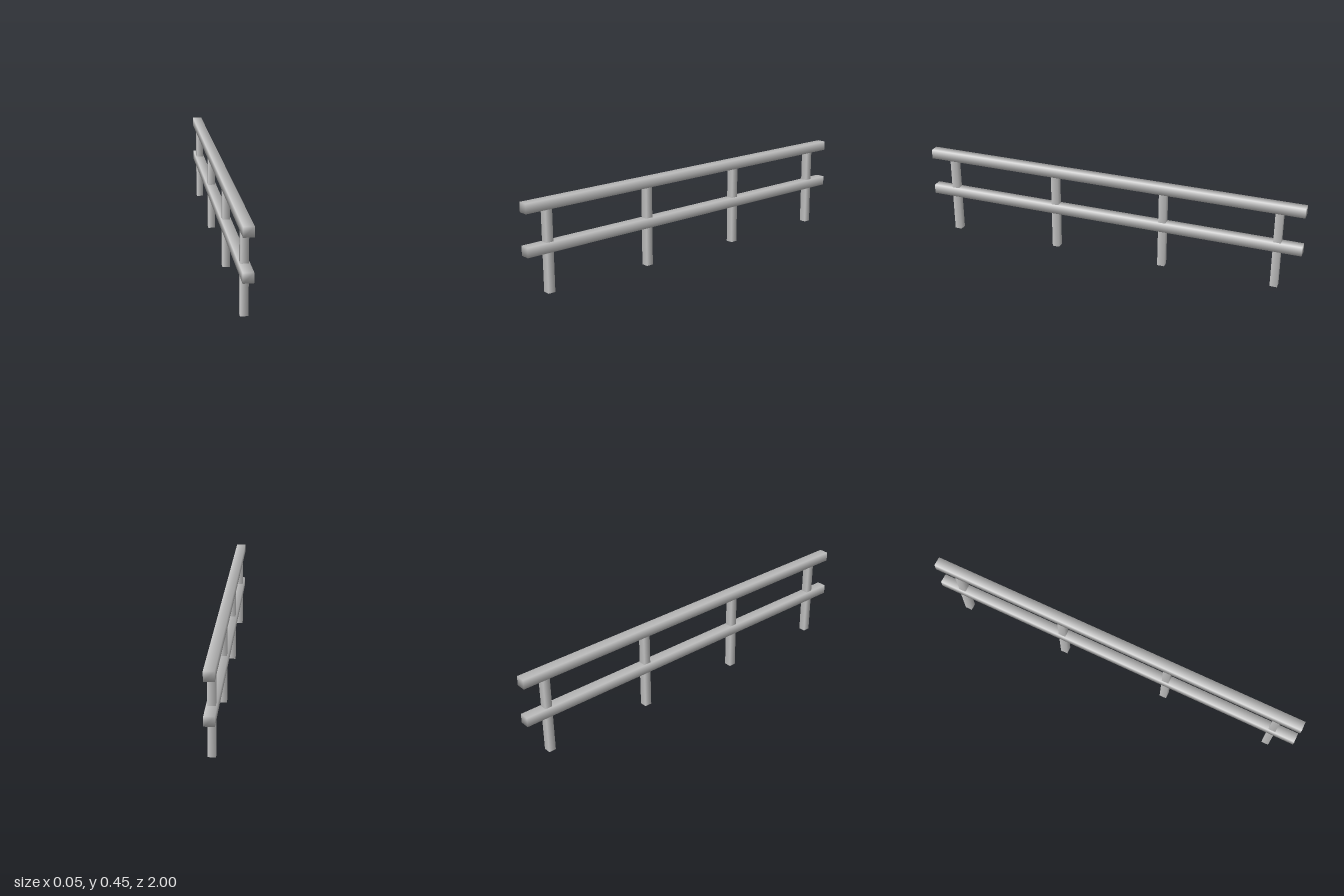
import * as THREE from 'three';
import { mergeVertices } from 'three/addons/utils/BufferGeometryUtils.js';

const RAIL = 0.049;   // rail thickness
const POST = 0.037;   // post thickness

// Box whose corners share one normal, for soft shading
function softBox(w, h, d) {
  const box = new THREE.BoxGeometry(w, h, d);
  box.deleteAttribute('normal');
  box.deleteAttribute('uv');
  const geometry = mergeVertices(box);
  geometry.computeVertexNormals();
  return geometry;
}

export function createModel() {
  const fence = new THREE.Group();
  fence.name = 'railFence';
  const material = new THREE.MeshStandardMaterial({ color: 0xcccccc });
  const openMaterial = new THREE.MeshStandardMaterial({ color: 0xcccccc, side: THREE.DoubleSide });

  // Two long horizontal rails
  const railGeometry = softBox(RAIL, 0.048, 2);
  for (const [name, y] of [['lowerRail', 0.221], ['upperRail', 0.425]]) {
    const rail = new THREE.Mesh(railGeometry, material);
    rail.name = name;
    rail.position.y = y;
    fence.add(rail);
  }

  // Four square, open-ended posts running up into the upper rail
  const postHeight = 0.41;
  const radius = POST / Math.SQRT2;
  const postGeometry = new THREE.CylinderGeometry(radius, radius, postHeight, 4, 1, true);
  postGeometry.rotateY(Math.PI / 4);
  for (let i = 0; i < 4; i++) {
    const post = new THREE.Mesh(postGeometry, openMaterial);
    post.name = `post${i + 1}`;
    post.position.set(0, postHeight / 2, 0.876 - i * 0.584);
    fence.add(post);
  }

  return fence;
}
